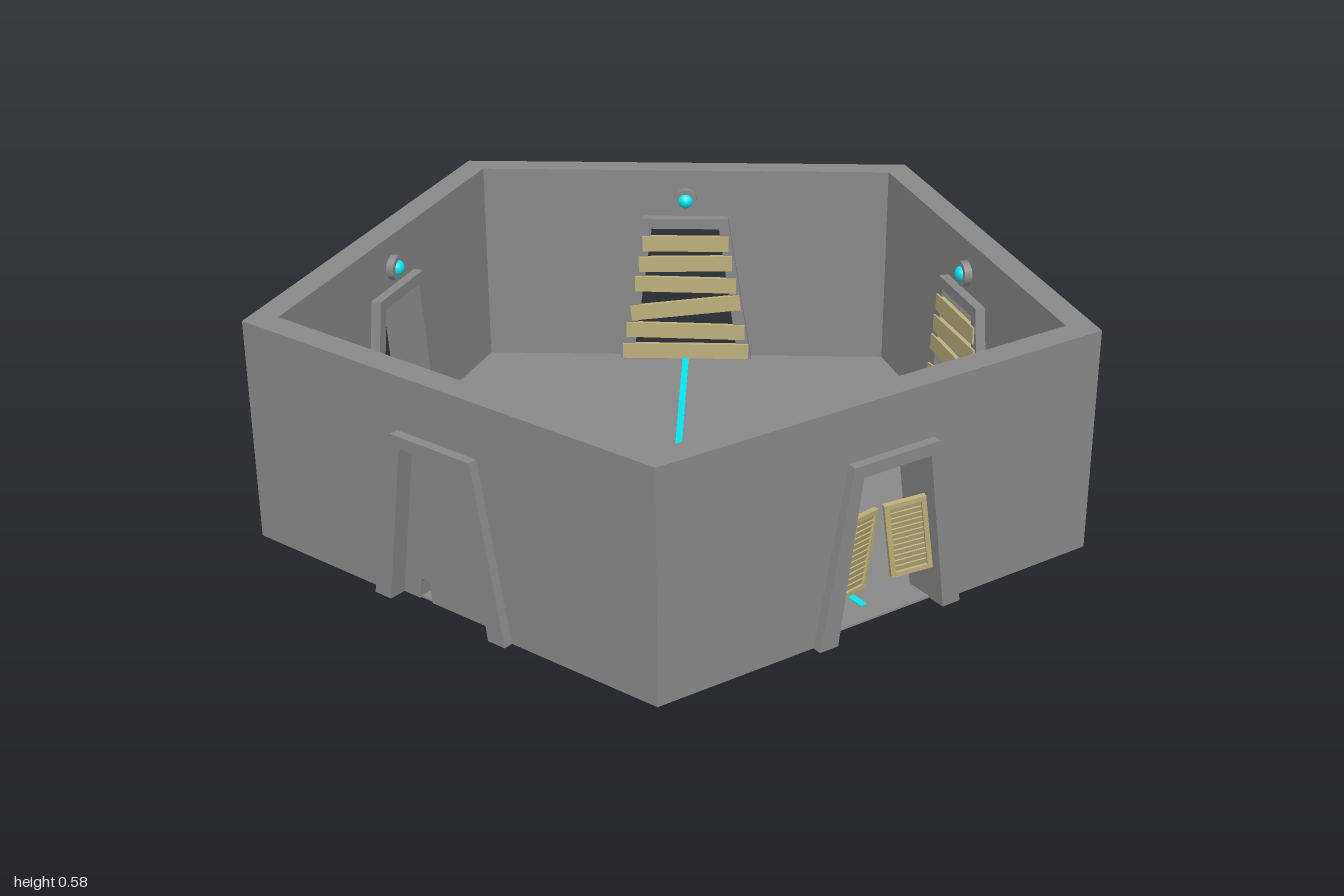
import * as THREE from 'three';

const mat = (color) => new THREE.MeshStandardMaterial({ color });
const grey = mat(0x888888);
const wood = mat(0xbcb07c);
const cyan = mat(0x08e4ec);

const R_OUT = 1.051, R_IN = 0.967;             // pentagon corner radii
const A_OUT = 0.85, A_IN = 0.782;              // distances of the wall faces from the centre
const BASE = 0.008, TOP = 0.577, FLOOR = 0.013;

function add(parent, name, geometry, material, x = 0, y = 0, z = 0) {
  const mesh = new THREE.Mesh(geometry, material);
  mesh.name = name;
  mesh.position.set(x, y, z);
  parent.add(mesh);
  return mesh;
}

const polygon = (points) => new THREE.Shape(points.map(([x, y]) => new THREE.Vector2(x, y)));

const extrude = (shape, depth) => new THREE.ExtrudeGeometry(shape, { depth, bevelEnabled: false });

// Horizontal pentagon slab with its apex to the back, optionally hollow
function pentagon(radius, depth, holeRadius) {
  const corners = (r) => Array.from({ length: 5 }, (_, i) => {
    const a = (i * Math.PI * 2) / 5;
    return [r * Math.sin(a), r * Math.cos(a)];
  });
  const shape = polygon(corners(radius));
  if (holeRadius) shape.holes.push(polygon(corners(holeRadius)));
  return extrude(shape, depth).rotateX(-Math.PI / 2);
}

// Wall with a tapered door notch and mitred ends
function wallGeometry() {
  const w = R_OUT * Math.sin(Math.PI / 5);
  const inner = R_IN * Math.sin(Math.PI / 5);
  const geometry = extrude(polygon([
    [-w, BASE], [-0.17, BASE], [-0.105, 0.425], [0.105, 0.425],
    [0.17, BASE], [w, BASE], [w, TOP], [-w, TOP],
  ]), A_OUT - A_IN);
  const p = geometry.attributes.position;
  for (let i = 0; i < p.count; i++) {
    if (Math.abs(p.getX(i)) > 0.5 && p.getZ(i) < 0.01) p.setX(i, Math.sign(p.getX(i)) * inner);
  }
  geometry.computeVertexNormals();
  return geometry;
}

// Tapered door surround
const surround = (foot, depth) => extrude(polygon([
  [-foot, BASE], [-0.12, 0.442], [0.12, 0.442], [foot, BASE],
  [0.152, BASE], [0.095, 0.412], [-0.095, 0.412], [-0.152, BASE],
]), depth);

// Closed door with a small arched hole at its foot
function closedDoor(parent) {
  const shape = polygon([
    [-0.16, BASE], [-0.1, 0.422], [0.1, 0.422], [0.16, BASE],
    [-0.062, BASE], [-0.065, 0.052], [-0.07, 0.063], [-0.09, 0.063], [-0.095, 0.052], [-0.1, BASE],
  ]);
  add(parent, 'closedDoor', extrude(shape, 0.04), grey, 0, 0, 0.79);
}

// Pair of louvred swing doors hinged on the sloping jambs
function swingDoors(parent) {
  const w = 0.1, h = 0.195, t = 0.014, edge = 0.012, slats = 12;
  const pitch = (h - 2 * edge) / slats;
  for (const side of [-1, 1]) {
    const hinge = new THREE.Group();
    hinge.name = side < 0 ? 'swingDoorA' : 'swingDoorB';
    hinge.position.set(side * 0.118, 0.207, 0.85);
    hinge.rotation.set(0, -side * 0.34, side * 0.16, 'ZYX');
    const x = (-side * w) / 2;
    for (const s of [-1, 1]) {
      add(hinge, 'stile', new THREE.BoxGeometry(edge, h, t), wood, x + (s * (w - edge)) / 2);
      add(hinge, 'rail', new THREE.BoxGeometry(w - 2 * edge, edge, t), wood, x, (s * (h - edge)) / 2);
    }
    for (let i = 0; i < slats; i++) {
      const slat = add(hinge, 'slat', new THREE.BoxGeometry(w - 2 * edge, pitch * 1.15, 0.004),
        wood, x, (i + 0.5 - slats / 2) * pitch);
      slat.rotation.x = 0.25;
    }
    parent.add(hinge);
  }
}

// Planks nailed across the inner side of a doorway: height and tilt
function boards(parent) {
  const planks = [[0.368, 0], [0.307, -0.02], [0.243, 0.015], [0.172, -0.115], [0.1, 0.02], [0.037, 0]];
  for (const [y, tilt] of planks) {
    const plank = add(parent, 'plank',
      new THREE.BoxGeometry(2 * (0.188 - 0.18 * y), 0.045, 0.012), wood, 0, y, 0.757);
    plank.rotation.z = tilt;
  }
}

// Round lamp above the inside of a doorway
function lamp(parent) {
  const depth = 0.02;
  const socket = new THREE.CylinderGeometry(0.033, 0.033, depth, 20).rotateX(-Math.PI / 2);
  add(parent, 'lampSocket', socket, grey, 0, 0.492, A_IN - depth / 2);
  add(parent, 'lampGlow', new THREE.SphereGeometry(0.022, 20, 14), cyan, 0, 0.492, A_IN - depth + 0.008);
}

export function createModel() {
  const root = new THREE.Group();
  root.name = 'pentagonRoom';
  const room = new THREE.Group();
  room.name = 'room';
  room.position.z = 0.087;
  root.add(room);

  // Floor, plate beneath it and glowing centre outline
  add(room, 'floor', pentagon(R_OUT - 0.03, FLOOR - BASE), grey, 0, BASE, 0);
  add(room, 'underPlate', pentagon(0.135, 0.01), grey);
  add(room, 'centreOutline', pentagon(0.12, 0.004, 0.11), cyan, 0, FLOOR - 0.002, 0);

  const wall = wallGeometry();
  const innerFrame = surround(0.19, 0.06);
  const outerFrame = surround(0.203, 0.07);
  const fittings = [closedDoor, swingDoors, boards, boards, null];

  // Five sides, starting at the front and turning towards +x
  fittings.forEach((fit, i) => {
    const side = new THREE.Group();
    side.name = `side${i + 1}`;
    side.rotation.y = (i * Math.PI * 2) / 5;
    add(side, 'wall', wall, grey, 0, 0, A_IN);
    add(side, 'innerDoorFrame', innerFrame, grey, 0, 0, 0.756);
    add(side, 'outerDoorFrame', outerFrame, grey, 0, 0, 0.804);
    add(side, 'floorLine', new THREE.BoxGeometry(0.018, 0.0082, 0.66), cyan, 0, 0.0112, 0.445);
    lamp(side);
    if (fit) fit(side);
    room.add(side);
  });
  return root;
}
